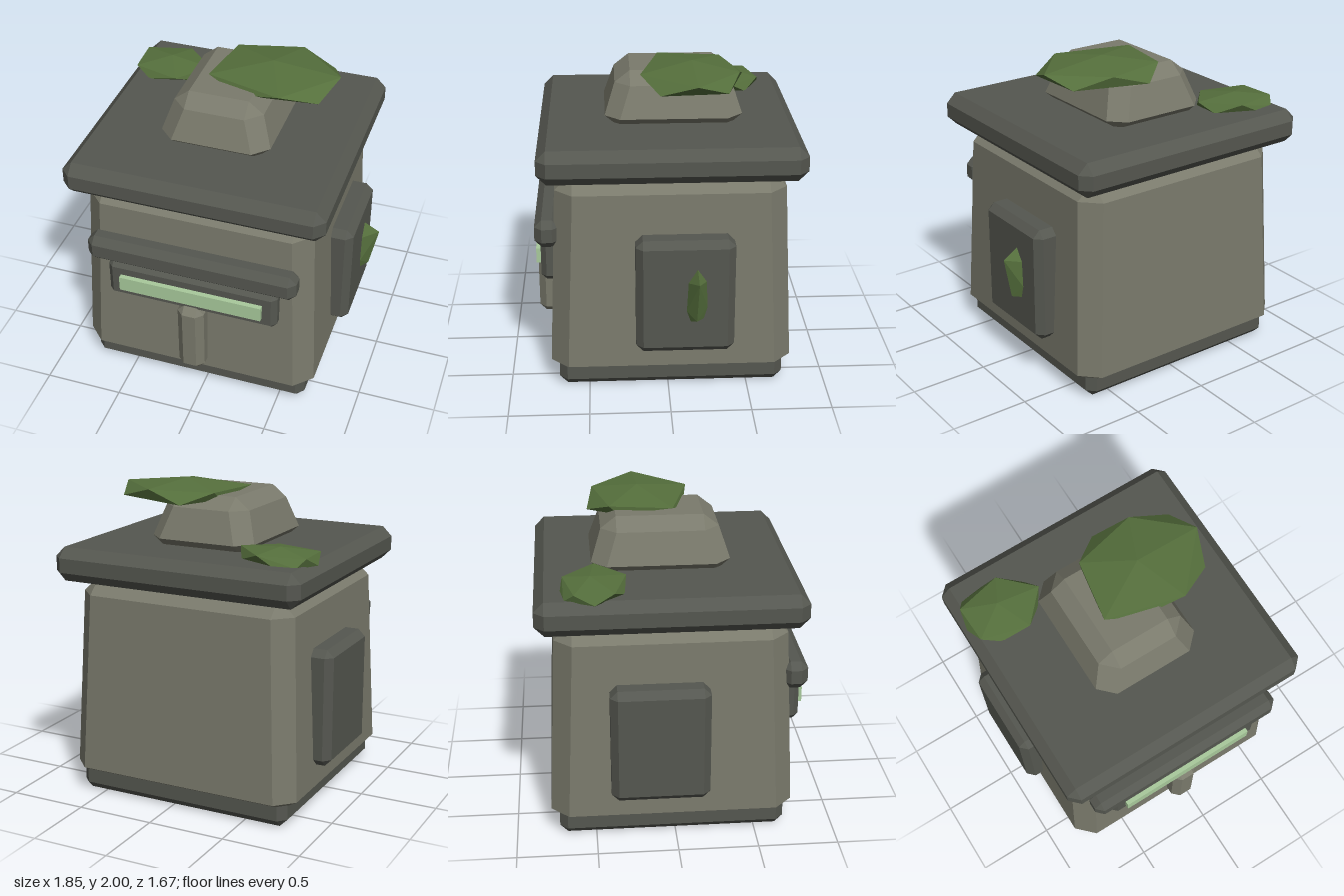
import * as THREE from 'three';
import { ConvexGeometry } from 'three/addons/geometries/ConvexGeometry.js';

const material = (name, color) => {
  const m = new THREE.MeshStandardMaterial({ color });
  m.name = name;
  return m;
};

// Chamfered block that may taper: x, z are the [min, max] spans at the widest level,
// shrink is how far each side moves in at the top, c / cb / ct the side, bottom and top chamfers.
function chamferBlock(x, y, z, c, shrink = 0, cb = c, ct = c) {
  const pts = [];
  const corners = (level, inset, cap) => {
    for (const sx of [0, 1]) for (const sz of [0, 1]) {
      const px = x[sx] + (sx ? -inset : inset), pz = z[sz] + (sz ? -inset : inset);
      const ix = sx ? -c : c, iz = sz ? -c : c;
      if (cap) pts.push(new THREE.Vector3(px + ix, level, pz + iz));
      else pts.push(new THREE.Vector3(px + ix, level, pz), new THREE.Vector3(px, level, pz + iz));
    }
  };
  corners(y[0], 0, true);
  corners(y[0] + cb, 0, false);
  corners(y[1] - ct, shrink, false);
  corners(y[1], shrink, true);
  return new ConvexGeometry(pts);
}

// Faceted leaf clump: the hull of a few points
const clump = (points) => new ConvexGeometry(points.map((p) => new THREE.Vector3(...p)));

export function createModel() {
  const model = new THREE.Group();
  model.name = 'stoneLantern';

  const stone = material('stone', 0x7a7a6c);
  const darkStone = material('dark stone', 0x555750);
  const leaf = material('leaf green', 0x556f3c);
  const glow = material('pale green glow', 0xa9ca9c);

  const add = (name, geometry, mat) => {
    const mesh = new THREE.Mesh(geometry, mat);
    mesh.name = name;
    model.add(mesh);
  };

  // Main stack
  add('base', chamferBlock([-0.78, 0.665], [0, 0.21], [-0.73, 0.69], 0.05), darkStone);
  add('body', chamferBlock([-0.835, 0.72], [0.11, 1.41], [-0.78, 0.74], 0.11, 0.05, 0.06, 0.1), stone);
  add('roof', chamferBlock([-0.885, 0.77], [1.4, 1.615], [-0.838, 0.79], 0.062), darkStone);
  add('cap', chamferBlock([-0.407, 0.295], [1.58, 1.93], [-0.485, 0.375], 0.095, 0.065, 0.08, 0.075), stone);

  // Side panels
  add('leftPanel', chamferBlock([0.62, 0.82], [0.305, 1.055], [-0.405, 0.205], 0.045), darkStone);
  add('rightPanel', chamferBlock([-0.93, -0.73], [0.305, 1.055], [-0.405, 0.205], 0.045), darkStone);

  // Face
  add('brow', chamferBlock([-0.735, 0.62], [0.94, 1.117], [0.665, 0.82], 0.045), darkStone);
  add('slotFrame', chamferBlock([-0.61, 0.5], [0.67, 0.937], [0.62, 0.79], 0.033), darkStone);
  const light = new THREE.BoxGeometry(0.93, 0.1, 0.06);
  light.translate(-0.055, 0.805, 0.792);
  add('slotLight', light, glow);
  add('nose', chamferBlock([-0.145, 0.03], [0.2, 0.71], [0.66, 0.835], 0.044), stone);

  // Leaf clumps
  add('capLeaves', clump([
    [0.17, 2.0, -0.17],
    [-0.12, 1.95, -0.36], [0.29, 1.955, -0.455], [0.6, 1.955, -0.18], [0.3, 1.95, 0.155], [-0.185, 1.95, 0.03],
    [0.05, 1.88, -0.495], [0.52, 1.89, -0.37], [0.52, 1.88, 0.04], [0.03, 1.89, 0.11], [-0.13, 1.9, -0.3],
    [0.37, 1.865, -0.22], [0.18, 1.84, -0.17],
  ]), leaf);
  add('roofLeaves', clump([
    [-0.63, 1.695, -0.5],
    [-0.84, 1.66, -0.6], [-0.55, 1.665, -0.665], [-0.355, 1.67, -0.47], [-0.53, 1.66, -0.28], [-0.83, 1.66, -0.36],
    [-0.8, 1.61, -0.66], [-0.66, 1.61, -0.68], [-0.41, 1.61, -0.57], [-0.42, 1.61, -0.38],
    [-0.72, 1.61, -0.3], [-0.865, 1.6, -0.48], [-0.62, 1.57, -0.48],
  ]), leaf);
  add('sideLeaf', clump([
    [0.92, 0.82, -0.175], [0.865, 0.55, -0.165], [0.82, 0.88, -0.17],
    [0.82, 0.79, -0.115], [0.82, 0.6, -0.105], [0.82, 0.53, -0.13],
    [0.82, 0.55, -0.21], [0.82, 0.63, -0.232], [0.82, 0.8, -0.225],
    [0.78, 0.7, -0.17],
  ]), leaf);

  return model;
}
